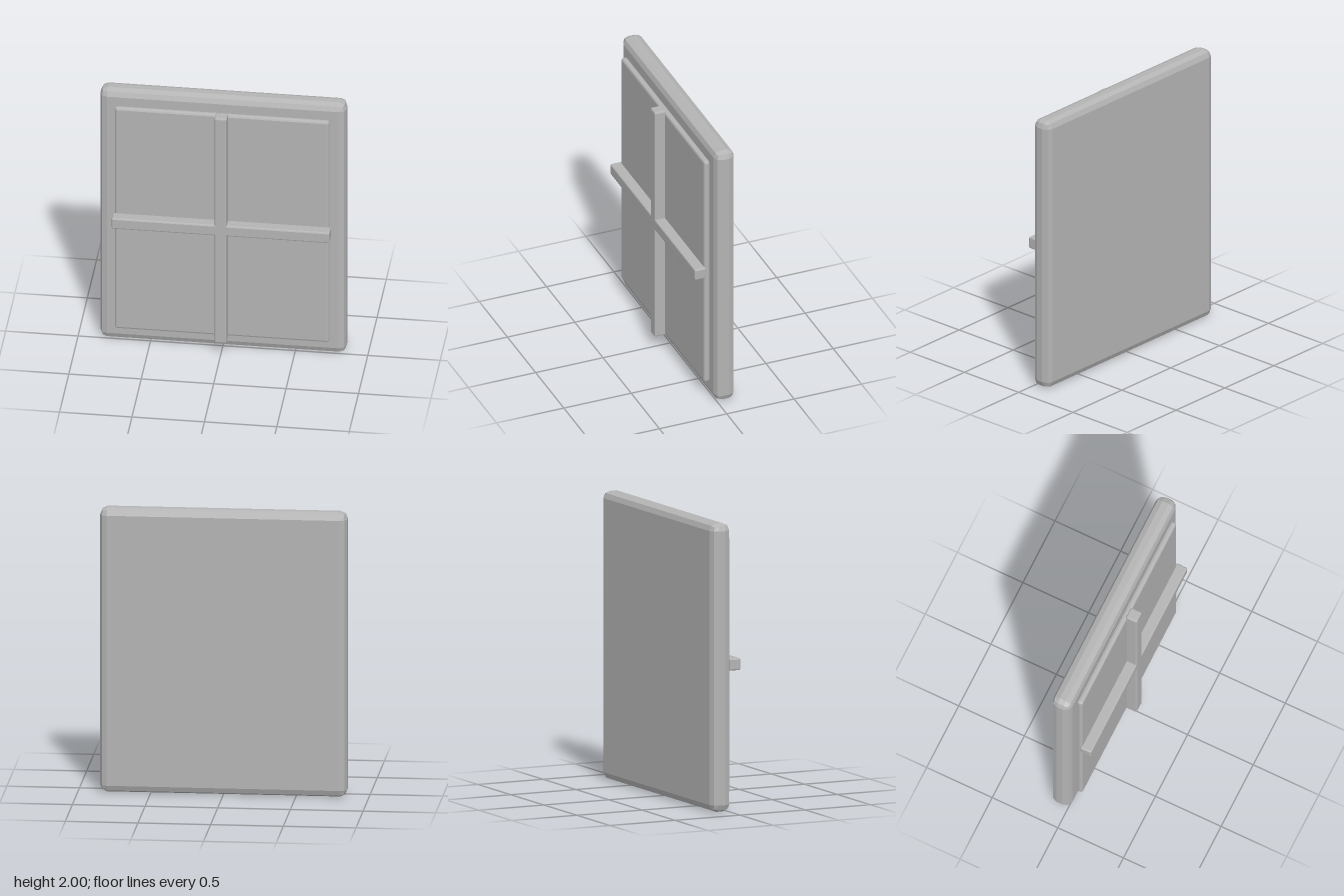
import * as THREE from 'three';

// Box between two corners whose edges are rounded by two facets of radius r
function bevelledBox(min, max, r) {
  const geo = new THREE.BoxGeometry(1, 1, 1, 3, 3, 3);
  const pos = geo.attributes.position;
  const lo = new THREE.Vector3(...min);
  const hi = new THREE.Vector3(...max);
  const centre = lo.clone().add(hi).multiplyScalar(0.5);
  const inner = hi.clone().sub(lo).multiplyScalar(0.5).subScalar(r);
  const v = new THREE.Vector3();
  const dir = new THREE.Vector3();
  const outer = (c) => (Math.abs(c) > 0.4 ? Math.sign(c) : 0);
  for (let i = 0; i < pos.count; i++) {
    v.fromBufferAttribute(pos, i);
    dir.set(outer(v.x), outer(v.y), outer(v.z)).normalize().multiplyScalar(r);
    v.set(Math.sign(v.x), Math.sign(v.y), Math.sign(v.z)).multiply(inner).add(dir).add(centre);
    pos.setXYZ(i, v.x, v.y, v.z);
  }
  geo.computeVertexNormals();
  return geo;
}

export function createModel() {
  const group = new THREE.Group();
  group.name = 'window';
  const grey = new THREE.MeshStandardMaterial({ color: 0xb4b4b4, flatShading: true });
  grey.name = 'grey';

  const add = (name, min, max, r) => {
    const mesh = new THREE.Mesh(bevelledBox(min, max, r), grey);
    mesh.name = name;
    group.add(mesh);
  };

  // Thick backing slab, raised pane, and the crossing bars
  add('frame', [-0.85, 0, -0.132], [0.85, 2, 0.014], 0.05);
  add('pane', [-0.74, 0.115, 0.014], [0.74, 1.89, 0.058], 0.016);
  add('verticalBar', [-0.042, 0.1, 0.048], [0.042, 1.905, 0.132], 0.01);
  add('horizontalBar', [-0.752, 0.961, 0.048], [0.752, 1.045, 0.132], 0.01);

  return group;
}
